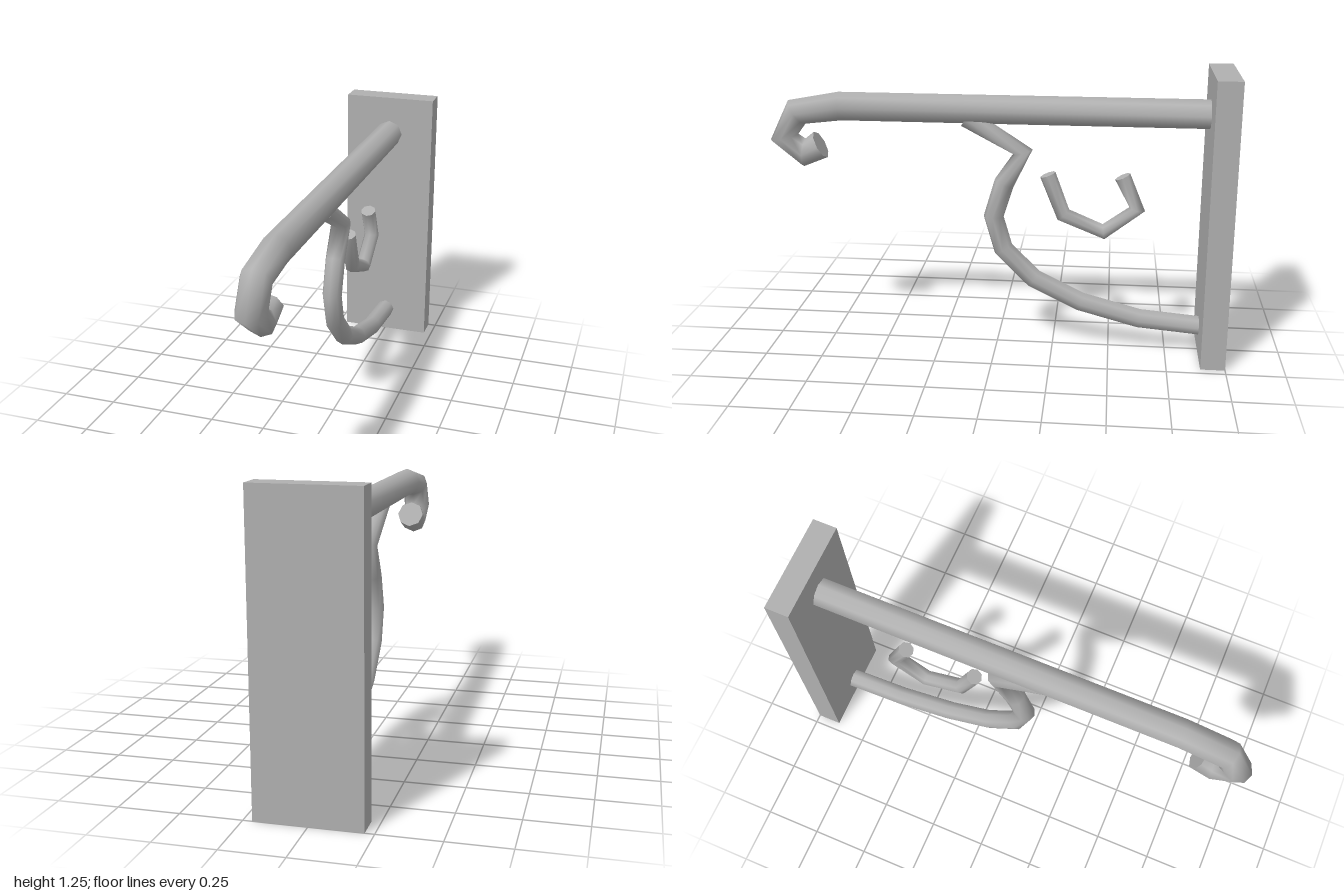
import * as THREE from 'three';

const SIDES = 8;

// Rod swept along [z, y] points: one ring of constant radius at each joint, flat end caps
function rodGeometry(path, radius) {
  const pts = path.map(([z, y]) => new THREE.Vector3(0, y, z));
  const last = pts.length - 1;
  const side = new THREE.Vector3(1, 0, 0);
  const pos = [], index = [], rings = [];

  pts.forEach((p, i) => {
    const tangent = new THREE.Vector3();
    if (i > 0) tangent.add(p.clone().sub(pts[i - 1]).normalize());
    if (i < last) tangent.add(pts[i + 1].clone().sub(p).normalize());
    const up = tangent.normalize().cross(side);
    const ring = [];
    for (let j = 0; j < SIDES; j++) {
      const a = (j / SIDES) * Math.PI * 2;
      ring.push(p.clone().addScaledVector(side, radius * Math.cos(a)).addScaledVector(up, radius * Math.sin(a)));
    }
    rings.push(ring);
    ring.forEach((v) => pos.push(v.x, v.y, v.z));
  });

  for (let i = 0; i < last; i++) {
    for (let j = 0; j < SIDES; j++) {
      const k = (j + 1) % SIDES;
      const a = i * SIDES + j, b = i * SIDES + k;
      index.push(a, b, b + SIDES, a, b + SIDES, a + SIDES);
    }
  }

  // Caps have their own vertices so their edges stay sharp
  for (const end of [0, last]) {
    const base = pos.length / 3;
    rings[end].forEach((v) => pos.push(v.x, v.y, v.z));
    for (let j = 1; j < SIDES - 1; j++) {
      if (end) index.push(base, base + j, base + j + 1);
      else index.push(base, base + j + 1, base + j);
    }
  }

  const geometry = new THREE.BufferGeometry();
  geometry.setAttribute('position', new THREE.Float32BufferAttribute(pos, 3));
  geometry.setIndex(index);
  geometry.computeVertexNormals();
  return geometry;
}

export function createModel() {
  const group = new THREE.Group();
  group.name = 'wallBracket';
  const metal = new THREE.MeshStandardMaterial({ color: 0xb0b0b0 });
  metal.name = 'grey metal';

  const add = (name, geometry) => {
    const mesh = new THREE.Mesh(geometry, metal);
    mesh.name = name;
    group.add(mesh);
    return mesh;
  };

  // Wall plate
  add('wallPlate', new THREE.BoxGeometry(0.426, 1.245, 0.105)).position.set(0, 0.6225, -0.9475);

  // Straight arm with curled tip
  add('topArm', rodGeometry([
    [-0.93, 1.067], [0.684, 1.067], [0.877, 1.037], [0.938, 0.925], [0.85, 0.857], [0.777, 0.894],
  ], 0.063));

  // Curved brace under the arm
  add('curvedBrace', rodGeometry([
    [-0.93, 0.111], [-0.631, 0.136], [-0.371, 0.205], [-0.163, 0.307], [-0.027, 0.443],
    [0.016, 0.592], [-0.03, 0.744], [-0.11, 0.885], [0.134, 1.03],
  ], 0.044));

  // Small open scroll between brace and plate
  add('innerScroll', rodGeometry([
    [-0.219, 0.787], [-0.289, 0.608], [-0.465, 0.536], [-0.607, 0.643], [-0.54, 0.787],
  ], 0.035));

  return group;
}
